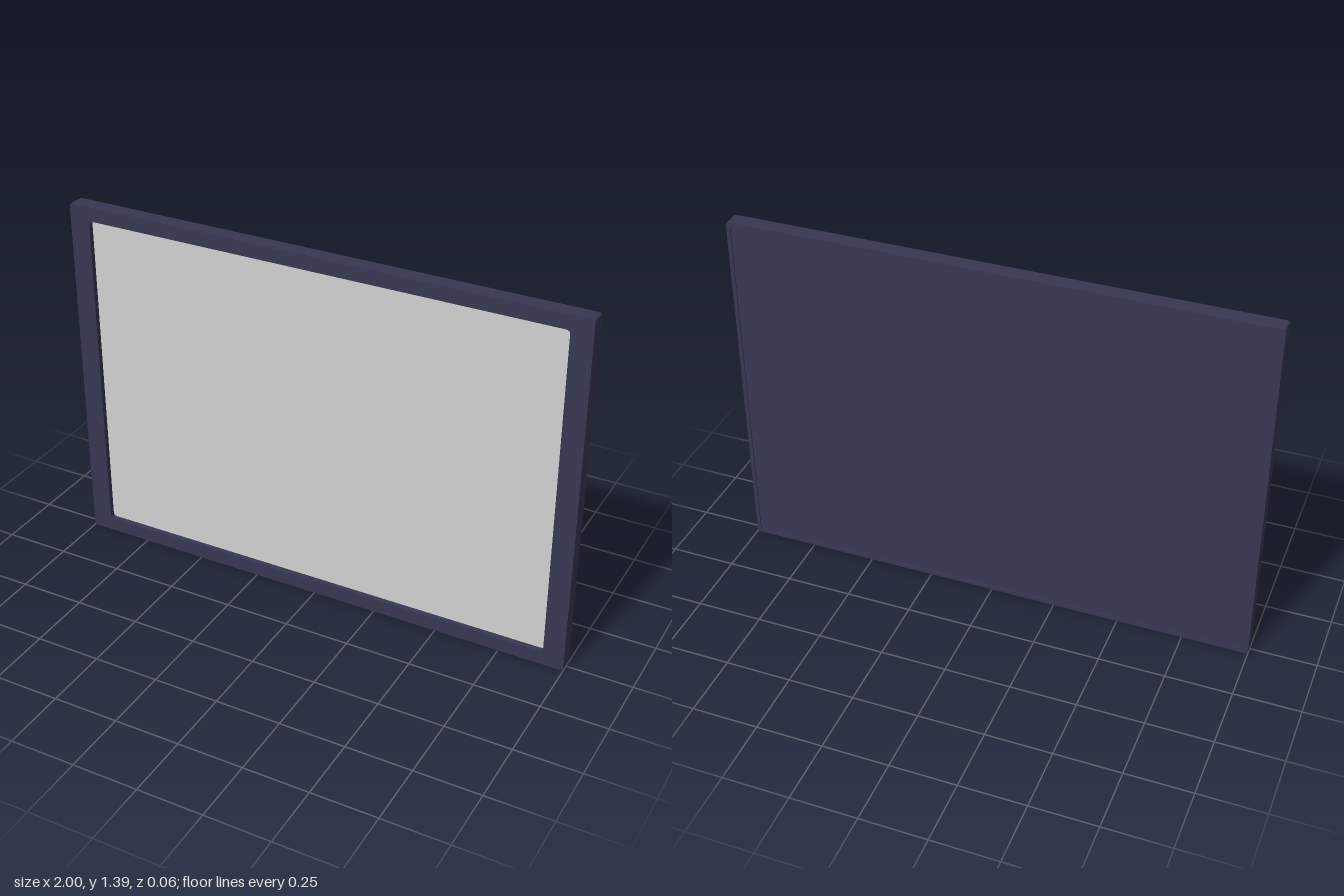
import * as THREE from 'three';

const W = 2, H = 1.39, D = 0.06;

// Rounded rectangle centred on the origin
function roundedRect(target, w, h, r) {
  const x = w / 2, y = h / 2;
  target.moveTo(-x + r, -y);
  target.lineTo(x - r, -y);
  target.quadraticCurveTo(x, -y, x, -y + r);
  target.lineTo(x, y - r);
  target.quadraticCurveTo(x, y, x - r, y);
  target.lineTo(-x + r, y);
  target.quadraticCurveTo(-x, y, -x, y - r);
  target.lineTo(-x, -y + r);
  target.quadraticCurveTo(-x, -y, -x + r, -y);
  return target;
}

// Rounded plate, optionally with an opening, from z0 to z1
function plate(name, material, w, h, r, z0, z1, opening) {
  const shape = roundedRect(new THREE.Shape(), w, h, r);
  if (opening) shape.holes.push(roundedRect(new THREE.Path(), ...opening));
  const geometry = new THREE.ExtrudeGeometry(shape, {
    depth: z1 - z0, bevelEnabled: false, curveSegments: 4,
  });
  const mesh = new THREE.Mesh(geometry, material);
  mesh.name = name;
  mesh.position.set(0, H / 2, z0);
  return mesh;
}

export function createModel() {
  const frameColour = new THREE.MeshStandardMaterial({ color: 0x373752 });
  frameColour.name = 'dark navy';
  const screenColour = new THREE.MeshStandardMaterial({ color: 0xd2d2d2 });
  screenColour.name = 'light grey';

  const group = new THREE.Group();
  group.name = 'framedPanel';

  // Border with a deep opening in front and a shallow rim behind
  group.add(plate('frame', frameColour, W, H, 0.012, -0.02, D / 2, [1.84, 1.28, 0.015]));
  group.add(plate('backRim', frameColour, W, H, 0.012, -D / 2, -0.02, [1.97, 1.36, 0.01]));

  // Closed back, set slightly inside the rim
  group.add(plate('backPanel', frameColour, 1.97, 1.36, 0.01, -0.026, -0.01));

  // Flat screen, recessed behind the border
  group.add(plate('screen', screenColour, 1.84, 1.28, 0.015, 0.003, 0.01));
  return group;
}
